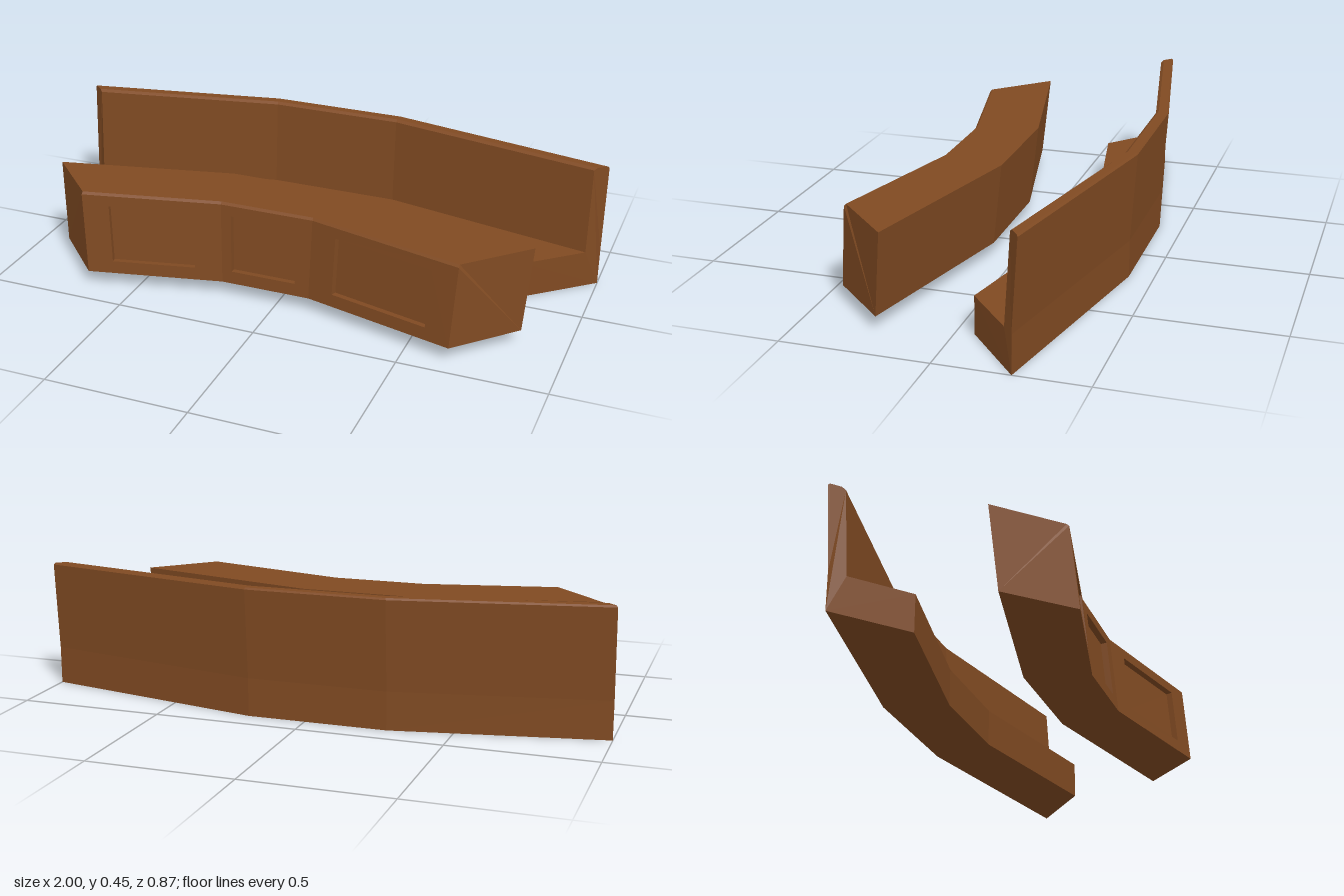
import * as THREE from 'three';

// Adds a flat quad, corners counter-clockwise as seen from outside
function quad(out, a, b, c, d) {
  for (const p of [a, b, c, a, c, d]) out.push(...p);
}

// Closes one end of a loft; sign is +1 for the +x end, -1 for the -x end
function cap(out, ring, sign) {
  const flat = ring.map(p => new THREE.Vector2(-p[2], p[1]));
  for (const [i, j, k] of THREE.ShapeUtils.triangulateShape(flat.slice(), [])) {
    const area = THREE.ShapeUtils.area([flat[i], flat[j], flat[k]]);
    const order = area * sign > 0 ? [i, j, k] : [i, k, j];
    for (const n of order) out.push(...ring[n]);
  }
}

// Joins matching rings from -x to +x; ring edge "skip" is left open
function loft(out, rings, skip = -1) {
  const n = rings[0].length;
  for (let s = 0; s < rings.length - 1; s++) {
    const A = rings[s], B = rings[s + 1];
    for (let i = 0; i < n; i++) {
      const j = (i + 1) % n;
      if (i !== skip) quad(out, A[i], B[i], B[j], A[j]);
    }
  }
  cap(out, rings[0], -1);
  cap(out, rings[rings.length - 1], 1);
}

const mix = (a, b, t) => a.map((v, i) => v + (b[i] - v) * t);

// Front face of one segment with a sunken rectangular panel
function recessedFace(out, bl, br, tr, tl, u0, u1, v0, v1, depth) {
  const at = (u, v) => mix(mix(bl, br, u), mix(tl, tr, u), v);
  const normal = new THREE.Vector3(...br).sub(new THREE.Vector3(...bl))
    .cross(new THREE.Vector3(...tl).sub(new THREE.Vector3(...bl))).normalize().toArray();
  const outer = [bl, br, tr, tl];
  const rim = [at(u0, v0), at(u1, v0), at(u1, v1), at(u0, v1)];
  const floor = rim.map(p => p.map((v, i) => v - normal[i] * depth));
  for (let i = 0; i < 4; i++) {
    const j = (i + 1) % 4;
    quad(out, outer[i], outer[j], rim[j], rim[i]);
    quad(out, rim[i], rim[j], floor[j], floor[i]);
  }
  quad(out, ...floor);
}

function toMesh(out, name, material) {
  const geometry = new THREE.BufferGeometry();
  geometry.setAttribute('position', new THREE.Float32BufferAttribute(out, 3));
  geometry.computeVertexNormals();
  const mesh = new THREE.Mesh(geometry, material);
  mesh.name = name;
  return mesh;
}

export function createModel() {
  const group = new THREE.Group();
  group.name = 'benchAndDesk';
  const wood = new THREE.MeshStandardMaterial({ color: 0x804a22 });
  wood.name = 'brown wood';

  // Bench stations: seat front, backrest foot and outer back, each as x, z
  const benchRings = [
    [[-0.78, -0.09], [-0.955, -0.24], [-1, -0.28]],
    [[-0.23, -0.195], [-0.275, -0.37], [-0.285, -0.415]],
    [[0.15, -0.195], [0.195, -0.37], [0.2, -0.415]],
    [[0.775, -0.062], [0.955, -0.218], [1, -0.255]],
  ].map(([f, m, b]) => {
    const lean = 0.02, seat = 0.132, top = 0.446;
    const frontTop = [m[0], top - 0.008, m[1] - lean];
    const backTop = [b[0], top - 0.006, b[1] - lean];
    const lift = t => { const p = mix(frontTop, backTop, t); p[1] = top; return p; };
    return [
      [f[0], 0, f[1]], [f[0], seat, f[1]], [m[0], seat, m[1]],
      frontTop, lift(0.22), lift(0.88), backTop,
      [b[0], seat, b[1]], [b[0], 0, b[1]],
    ];
  });
  const bench = [];
  loft(bench, benchRings);
  group.add(toMesh(bench, 'curvedBench', wood));

  // Desk stations: bottom front, top front, top back and bottom back, each as x, z
  const low = 0.05, high = 0.343;
  const deskRings = [
    [[-0.67, 0.405], [-0.69, 0.38], [-0.88, 0.183], [-0.86, 0.211]],
    [[-0.20, 0.302], [-0.21, 0.276], [-0.262, 0.048], [-0.257, 0.08]],
    [[0.12, 0.302], [0.125, 0.276], [0.172, 0.048], [0.167, 0.08]],
    [[0.655, 0.436], [0.67, 0.412], [0.865, 0.211], [0.845, 0.24]],
  ].map(([bf, tf, tb, bb]) => [
    [bf[0], low, bf[1]], [tf[0], high - 0.008, tf[1]],
    [tf[0], high, tf[1] - 0.008], [tb[0], high, tb[1]], [bb[0], low, bb[1]],
  ]);
  const desk = [];
  loft(desk, deskRings, 0);

  // Sunken front panels, one per segment
  [[0.19, 0.8], [0.11, 0.84], [0.17, 0.83]].forEach(([u0, u1], s) => {
    const A = deskRings[s], B = deskRings[s + 1];
    recessedFace(desk, A[0], B[0], B[1], A[1], u0, u1, 0.155, 0.87, 0.022);
  });
  group.add(toMesh(desk, 'panelledDesk', wood));

  return group;
}
